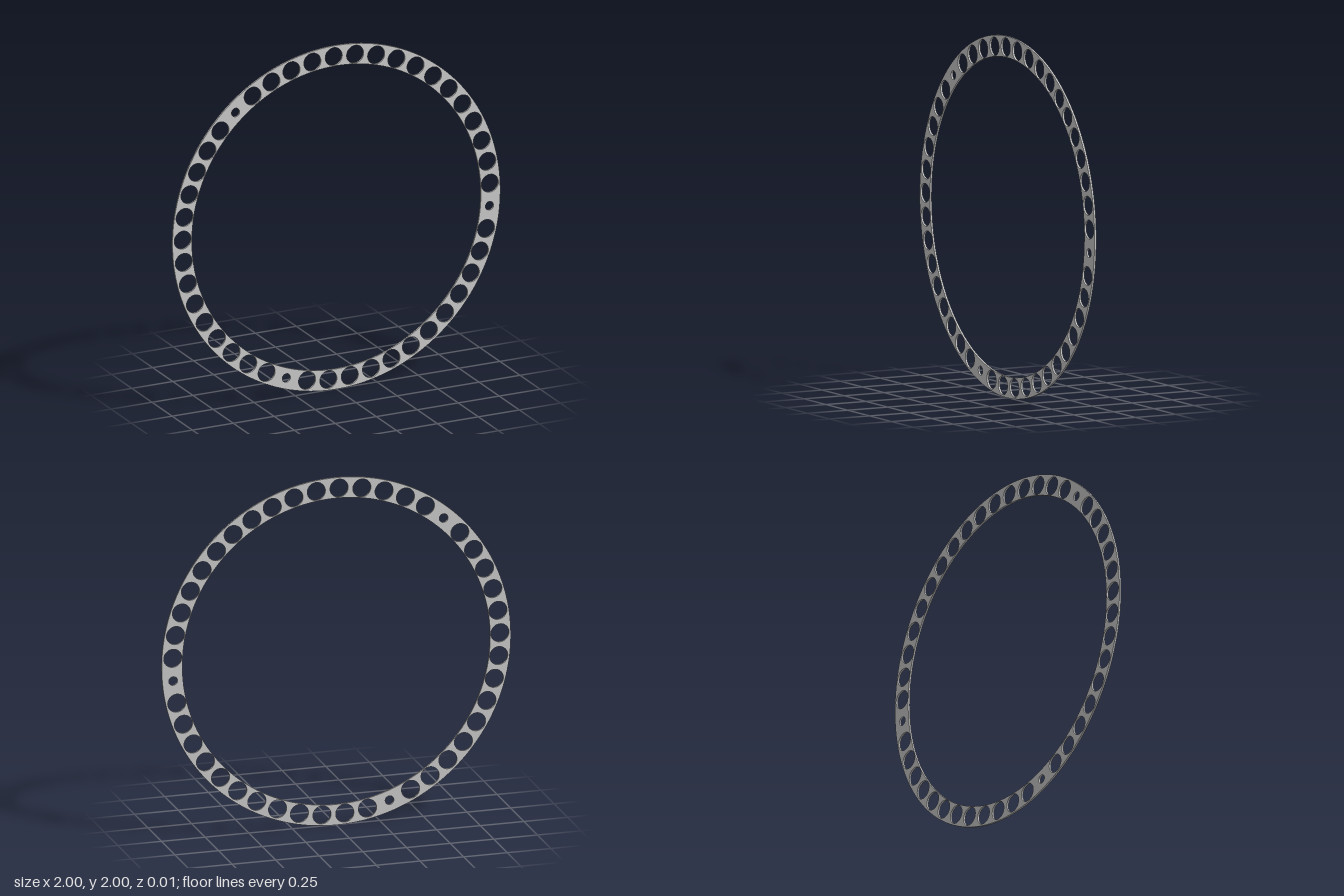
import * as THREE from 'three';

const OUTER = 1, INNER = 0.882, THICKNESS = 0.011;
const HOLES = 45, HOLE_CIRCLE = 0.938, BIG = 0.052, SMALL = 0.025;
const SMALL_AT = [0, 17, 32];      // positions of the small mounting holes
const START = THREE.MathUtils.degToRad(-5);

// Round outline as a closed path
function circle(x, y, r, segments) {
  const c = new THREE.Path().absarc(x, y, r, 0, Math.PI * 2, false);
  return new THREE.Path(c.getPoints(segments));
}

export function createModel() {
  const group = new THREE.Group();
  group.name = 'perforatedRing';

  // Flat ring outline with its wide opening
  const outline = new THREE.Shape(circle(0, 0, OUTER, 180).getPoints());
  outline.holes.push(circle(0, 0, INNER, 180));

  // Evenly spaced round holes, three of them small
  for (let i = 0; i < HOLES; i++) {
    const a = START + (i / HOLES) * Math.PI * 2;
    const r = SMALL_AT.includes(i) ? SMALL : BIG;
    outline.holes.push(circle(Math.cos(a) * HOLE_CIRCLE, Math.sin(a) * HOLE_CIRCLE, r, 32));
  }

  // Thin plate, centred on z
  const geometry = new THREE.ExtrudeGeometry(outline, { depth: THICKNESS, bevelEnabled: false });
  geometry.translate(0, 1, -THICKNESS / 2);
  const ring = new THREE.Mesh(geometry, new THREE.MeshStandardMaterial({ color: 0xcccccc }));
  ring.name = 'ringPlate';
  group.add(ring);
  return group;
}
